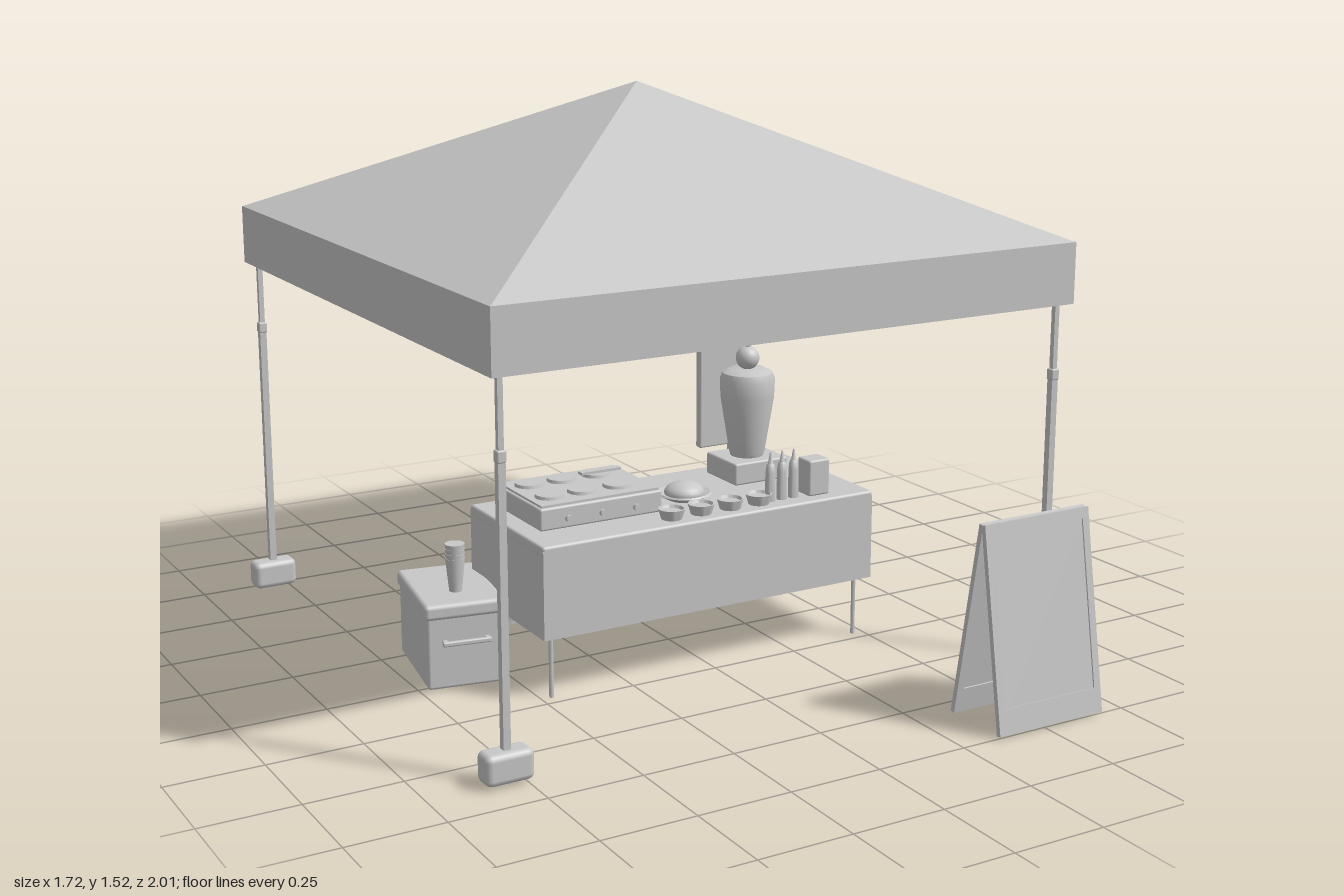
import * as THREE from 'three';
import { RoundedBoxGeometry } from 'three/addons/geometries/RoundedBoxGeometry.js';
import { toCreasedNormals } from 'three/addons/utils/BufferGeometryUtils.js';

const grey = new THREE.MeshStandardMaterial({ color: 0xc8c8c8, side: THREE.DoubleSide });
grey.name = 'plainGrey';

function add(parent, name, geo, x = 0, y = 0, z = 0) {
  const m = new THREE.Mesh(geo, grey);
  m.name = name;
  m.position.set(x, y, z);
  parent.add(m);
  return m;
}
function group(parent, name, x = 0, y = 0, z = 0) {
  const g = new THREE.Group();
  g.name = name;
  g.position.set(x, y, z);
  parent.add(g);
  return g;
}
const box = (w, h, d) => new THREE.BoxGeometry(w, h, d);
const rbox = (w, h, d, r) => new RoundedBoxGeometry(w, h, d, 2, r);
const cyl = (rt, rb, h, n = 20) => new THREE.CylinderGeometry(rt, rb, h, n);
const lathe = (pts, n = 28) => toCreasedNormals(
  new THREE.LatheGeometry(pts.map(p => new THREE.Vector2(p[0], p[1])), n), 0.7);
// Straight square bar between two points of the parent's space
function bar(parent, name, a, b, t = 0.012) {
  const p = new THREE.Vector3(...a), q = new THREE.Vector3(...b);
  const m = add(parent, name, box(t, p.distanceTo(q), t));
  m.position.copy(p).lerp(q, 0.5);
  m.quaternion.setFromUnitVectors(new THREE.Vector3(0, 1, 0), q.sub(p).normalize());
}

// Tent: local origin below the peak
function buildTent(root) {
  const tent = group(root, 'tent', 0, 0, -0.17);
  const R = 0.83 * Math.SQRT2;
  const roof = new THREE.ConeGeometry(R, 0.385, 4, 1, true).rotateY(Math.PI / 4).toNonIndexed();
  roof.computeVertexNormals();
  add(tent, 'roof', roof, 0, 1.3325, 0);
  const skirt = new THREE.CylinderGeometry(R, R, 0.162, 4, 1, true).rotateY(Math.PI / 4).toNonIndexed();
  skirt.computeVertexNormals();
  add(tent, 'valance', skirt, 0, 1.06, 0);

  const c = 0.798;
  for (const sx of [-1, 1]) for (const sz of [-1, 1]) {
    const leg = group(tent, 'tentLeg', sx * c, 0, sz * c);
    add(leg, 'lowerPole', box(0.019, 0.78, 0.019), 0, 0.4, 0);
    add(leg, 'upperPole', box(0.014, 0.35, 0.014), 0, 0.96, 0);
    add(leg, 'poleJoint', rbox(0.024, 0.03, 0.024, 0.004), 0, 0.79, 0);
    add(leg, 'footWeight', rbox(0.125, 0.078, 0.065, 0.016), 0, 0.047, 0);
    bar(tent, 'hipRafter', [sx * c, 1.125, sz * c], [0, 1.495, 0]);
  }
  // Scissor trusses along each side
  for (let i = 0; i < 4; i++) {
    const side = group(tent, 'sideTruss');
    side.rotation.y = i * Math.PI / 2;
    for (const s of [-1, 1]) {
      bar(side, 'scissorBar', [s * c, 1.12, c], [0, 1.0, c], 0.01);
      bar(side, 'scissorBar', [s * c, 1.0, c - 0.012], [0, 1.12, c - 0.012], 0.01);
    }
  }
  add(tent, 'centrePole', cyl(0.009, 0.009, 0.51), 0, 1.24, 0);
  add(tent, 'centreKnob', new THREE.SphereGeometry(0.028, 20, 10).scale(1, 0.4, 1), 0, 0.985, 0);
}

// Table with a cloth that hangs on all four sides
function buildTable(root) {
  const t = group(root, 'table', 0, 0, 0.0275);
  add(t, 'clothTop', rbox(1.01, 0.03, 0.435, 0.008), 0, 0.402, 0);
  for (const s of [-1, 1]) {
    add(t, 'clothLongSide', box(1.008, 0.237, 0.008), 0, 0.2865, s * 0.2135);
    add(t, 'clothShortSide', box(0.008, 0.237, 0.432), s * 0.5, 0.2865, 0);
    for (const z of [-0.185, 0.185]) add(t, 'tableLeg', cyl(0.006, 0.006, 0.39, 10), s * 0.47, 0.195, z);
  }
}

function buildFood(root) {
  const top = 0.417;
  // Griddle with knobs and flat cakes
  const g = group(root, 'griddle', -0.275, top, 0);
  add(g, 'griddleBody', rbox(0.36, 0.06, 0.265, 0.006), 0, 0.032, 0);
  add(g, 'griddlePlate', box(0.345, 0.008, 0.25), 0, 0.064, 0);
  for (const x of [-0.1, 0, 0.1])
    add(g, 'knob', cyl(0.009, 0.009, 0.014, 14).rotateX(Math.PI / 2), x, 0.028, 0.137);
  for (const x of [-0.115, -0.02, 0.085]) for (const z of [-0.065, 0.055])
    add(g, 'flatCake', cyl(0.037, 0.039, 0.009), x, 0.072, z);
  add(g, 'spatula', box(0.12, 0.007, 0.022), 0.095, 0.08, -0.06);

  // Sauce bowls
  for (let i = 0; i < 4; i++) {
    const b = group(root, 'bowl', -0.1 + i * 0.09, top, 0.19);
    add(b, 'bowlShell', lathe([[0, 0], [0.028, 0], [0.036, 0.028], [0.032, 0.028], [0.028, 0.02], [0, 0.02]]));
  }
  // Serving plate
  const p = group(root, 'plate', 0.02, top, 0.05);
  add(p, 'plateDish', lathe([[0, 0], [0.045, 0], [0.074, 0.016], [0.07, 0.02], [0.045, 0.012], [0, 0.012]]));
  add(p, 'plateFood', new THREE.SphereGeometry(0.055, 22, 12).scale(1, 0.55, 1), 0, 0.018, 0);
  // Squeeze bottles
  for (const x of [0.21, 0.247, 0.284])
    add(root, 'sauceBottle', lathe([[0, 0], [0.014, 0], [0.014, 0.08], [0.011, 0.1], [0.007, 0.105], [0.002, 0.135], [0, 0.135]], 18), x, top, 0.185);
  add(root, 'napkinBox', rbox(0.066, 0.1, 0.06, 0.006), 0.353, top + 0.05, 0.18);

  // Upright meat grill
  const m = group(root, 'meatGrill', 0.285, top, -0.055);
  add(m, 'grillBase', rbox(0.17, 0.062, 0.156, 0.006), 0, 0.031, 0);
  add(m, 'meatStack', lathe([[0, 0.062], [0.046, 0.062], [0.05, 0.075], [0.062, 0.15], [0.075, 0.23],
    [0.077, 0.28], [0.07, 0.3], [0.05, 0.31], [0, 0.31]]));
  add(m, 'onion', new THREE.SphereGeometry(0.033, 20, 14), 0, 0.34, 0);
  add(m, 'leaf', new THREE.ConeGeometry(0.006, 0.08, 6), 0, 0.402, 0);
  for (let i = 0; i < 6; i++) {
    const a = i * Math.PI / 3;
    const leaf = add(m, 'leaf', new THREE.ConeGeometry(0.006, 0.065, 6).translate(0, 0.032, 0), 0, 0.368, 0);
    leaf.rotation.set(0.5 * Math.sin(a), 0, 0.5 * Math.cos(a));
  }
  add(m, 'heatShield', rbox(0.17, 0.302, 0.026, 0.005), 0, 0.214, -0.125);
}

// Cool box, with handles on its two ends (local +z and -z)
function coolBox(root, x, z, w, h, d, turn) {
  const g = group(root, 'coolBox', x, 0, z);
  g.rotation.y = turn;
  add(g, 'coolBoxBody', rbox(w, h - 0.035, d, 0.008), 0, 0.004 + (h - 0.035) / 2, 0);
  add(g, 'coolBoxLid', rbox(w + 0.012, 0.042, d + 0.012, 0.012), 0, h - 0.021, 0);
  for (const s of [-1, 1]) {
    add(g, 'handle', rbox(0.13, 0.013, 0.012, 0.004), 0, h * 0.56, s * (d / 2 + 0.016));
    for (const e of [-1, 1]) add(g, 'handleMount', box(0.012, 0.012, 0.016), e * 0.056, h * 0.56, s * (d / 2 + 0.006));
  }
}

// Folding board: two framed leaves meeting at the top
function buildBoard(root) {
  const b = group(root, 'foldingBoard', 0.52, 0.522, 0.906);
  const L = 0.525, W = 0.325, f = 0.02;
  for (const s of [-1, 1]) {
    const leaf = group(b, 'boardLeaf', 0, 0, s * 0.004);
    leaf.rotation.set(-Math.atan2(0.088, 0.516), s < 0 ? Math.PI : 0, 0, 'YXZ');
    add(leaf, 'boardPanel', box(W - 0.01, L - 0.02, 0.006), 0, -L / 2, 0);
    for (const e of [-1, 1]) add(leaf, 'frameSide', box(f, L, 0.014), e * (W - f) / 2, -L / 2, 0);
    add(leaf, 'frameTop', box(W - 2 * f, 0.028, 0.014), 0, -0.014, 0);
    add(leaf, 'frameBottom', box(W - 2 * f, 0.066, 0.014), 0, -L + 0.033, 0);
  }
}

export function createModel() {
  const root = new THREE.Group();
  root.name = 'foodStall';
  buildTent(root);
  buildTable(root);
  buildFood(root);
  coolBox(root, -0.605, -0.108, 0.204, 0.235, 0.31, -0.17);
  coolBox(root, 0.592, -0.465, 0.19, 0.2, 0.215, Math.PI / 2 - 0.2);
  // Stack of cups on the large cool box
  for (let i = 0; i < 4; i++)
    add(root, 'cup', cyl(0.026, 0.017, 0.09), -0.615, 0.28 + i * 0.013, -0.05);
  // Gas bottle
  const gas = group(root, 'gasBottle', -0.33, 0, -0.38);
  add(gas, 'tank', lathe([[0, 0.004], [0.066, 0.004], [0.068, 0.03], [0.078, 0.045], [0.085, 0.07], [0.085, 0.165],
    [0.078, 0.192], [0.058, 0.21], [0.03, 0.217], [0, 0.218]]));
  add(gas, 'collar', new THREE.CylinderGeometry(0.056, 0.056, 0.065, 24, 1, true), 0, 0.238, 0);
  add(gas, 'valve', cyl(0.014, 0.014, 0.035, 12), 0, 0.232, 0);
  buildBoard(root);
  return root;
}
